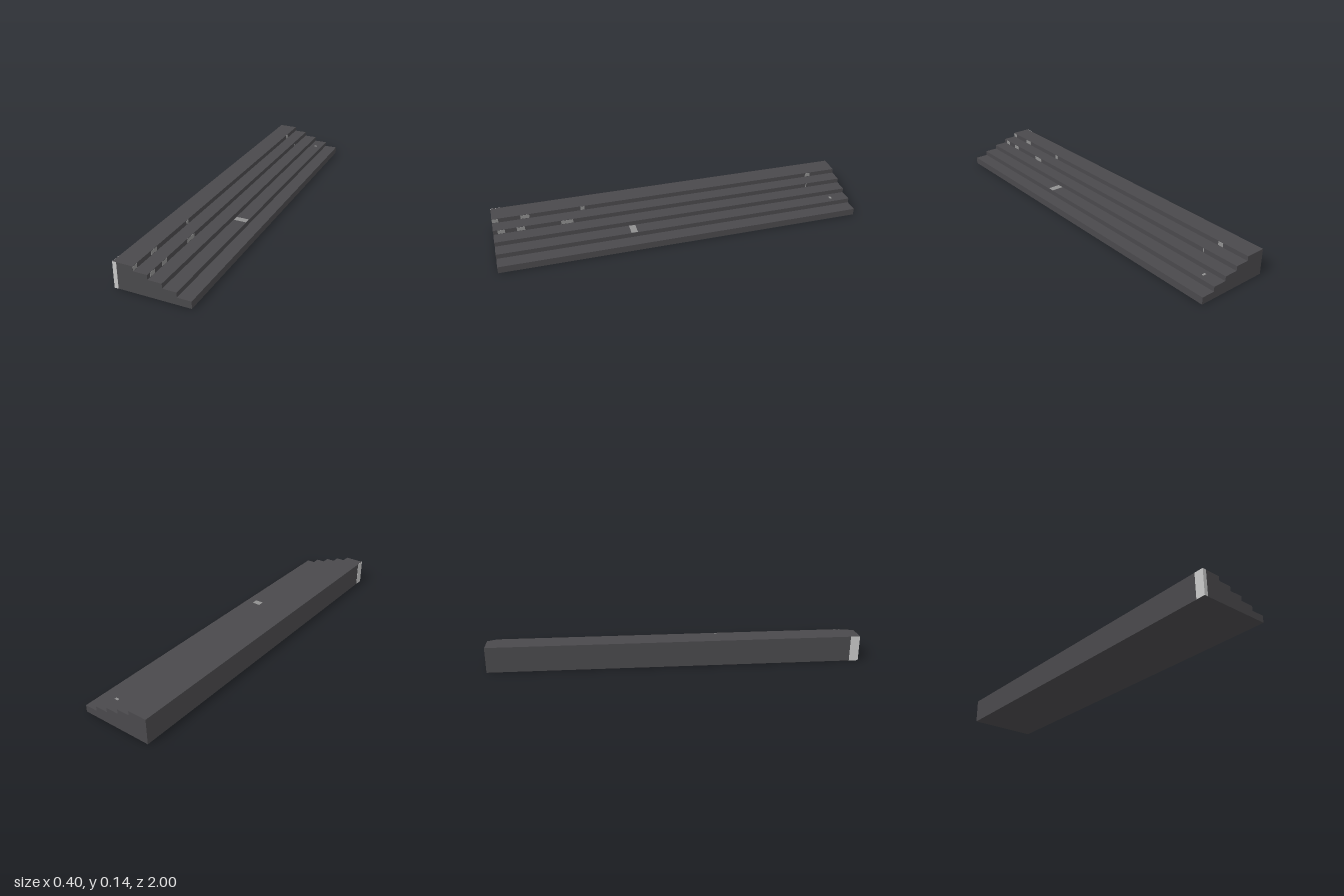
import * as THREE from 'three';

const dark = new THREE.MeshStandardMaterial({ color: 0x4a494c });
dark.name = 'dark stone';
const pale = new THREE.MeshStandardMaterial({ color: 0xc9c9c9 });
pale.name = 'pale edge';
const grey = new THREE.MeshStandardMaterial({ color: 0x909090 });
grey.name = 'grey chips';

// Outer edge and tread height of each step, from the top down
const STEPS = [[-0.093, 0.139], [-0.02, 0.114], [0.053, 0.089], [0.126, 0.064], [0.199, 0.038]];
const LEFT = -0.199, HALF = 0.999, T = 0.001;

export function createModel() {
  const model = new THREE.Group();
  model.name = 'staircase';

  // Stepped profile extruded along z
  const profile = new THREE.Shape();
  profile.moveTo(LEFT, 0);
  profile.lineTo(STEPS[4][0], 0);
  for (let i = STEPS.length - 1; i >= 0; i--) {
    profile.lineTo(STEPS[i][0], STEPS[i][1]);
    profile.lineTo(i ? STEPS[i - 1][0] : LEFT, STEPS[i][1]);
  }
  const geometry = new THREE.ExtrudeGeometry(profile, { depth: HALF * 2, bevelEnabled: false });
  geometry.translate(0, 0, -HALF);
  const body = new THREE.Mesh(geometry, dark);
  body.name = 'steps';
  model.add(body);

  // Thin plate spanning two opposite corners
  const plate = (name, material, x0, x1, y0, y1, z0, z1) => {
    const mesh = new THREE.Mesh(new THREE.BoxGeometry(x1 - x0, y1 - y0, z1 - z0), material);
    mesh.position.set((x0 + x1) / 2, (y0 + y1) / 2, (z0 + z1) / 2);
    mesh.name = name;
    model.add(mesh);
  };

  // Pale strips wrapping the tall front corner
  plate('cornerFront', pale, LEFT - T, -0.179, 0, 0.139, HALF, HALF + T);
  plate('cornerSide', pale, LEFT - T, LEFT, 0, 0.139, 0.95, HALF);

  // Chips on the risers: step index, z start, z end
  const riserChips = [
    [0, 0.965, 0.998], [0, 0.8, 0.848], [0, 0.5, 0.522], [0, -0.848, -0.818],
    [1, 0.937, 0.975], [1, 0.832, 0.875], [1, 0.575, 0.64], [1, -0.795, -0.79],
  ];
  for (const [i, z0, z1] of riserChips) {
    const [x, y] = STEPS[i];
    plate('riserChip', grey, x, x + T, STEPS[i + 1][1] + 0.002, y - 0.002, z0, z1);
  }

  // Chips on a lower tread
  const y = STEPS[3][1];
  plate('treadChip', grey, 0.056, 0.124, y, y + T, 0.25, 0.285);
  plate('treadChipSmall', grey, 0.078, 0.098, y, y + T, -0.907, -0.895);
  return model;
}
